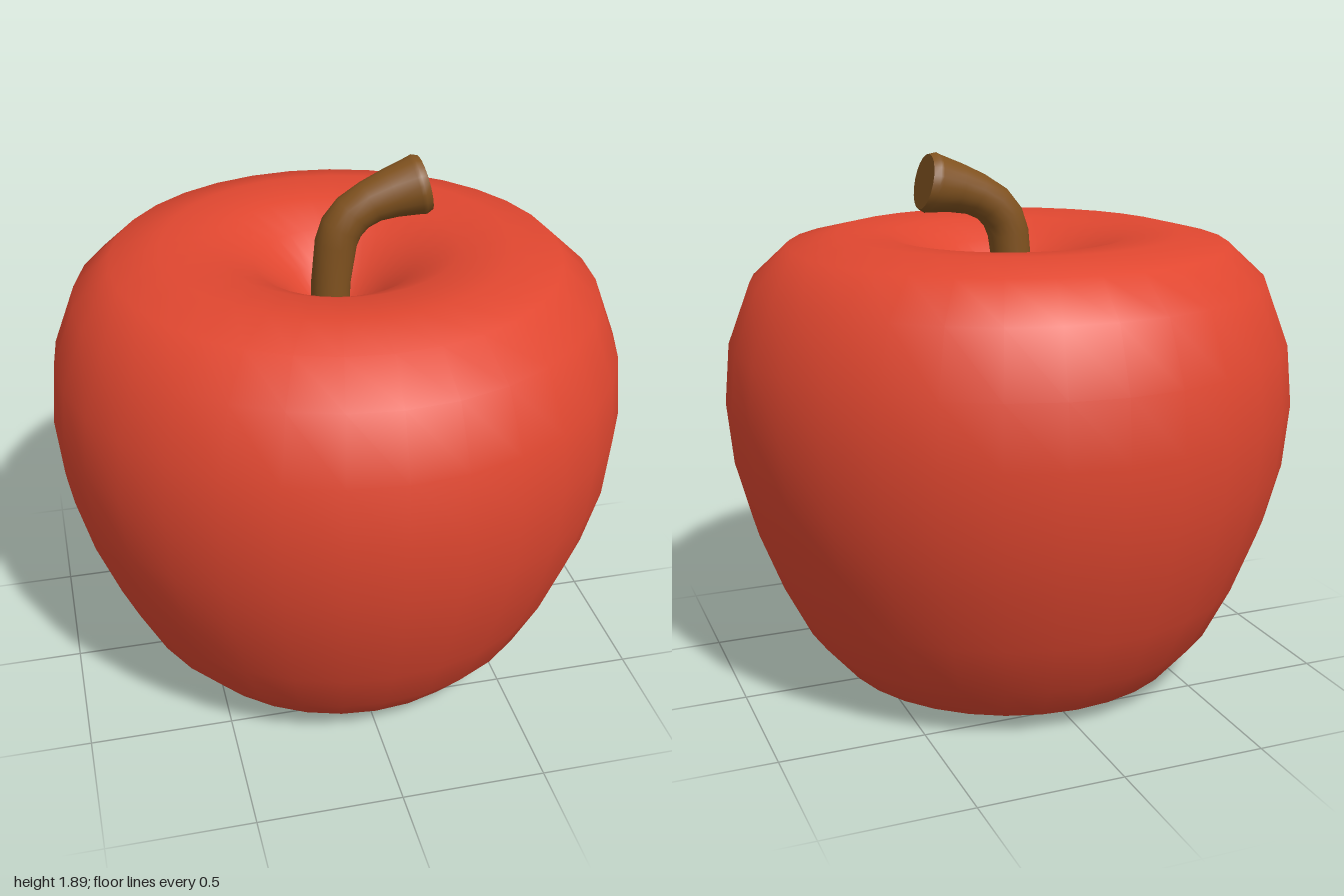
import * as THREE from 'three';

const red = new THREE.MeshStandardMaterial({ color: 0xe04730 });
red.name = 'apple red';
const brown = new THREE.MeshStandardMaterial({ color: 0x80521f });
brown.name = 'stem brown';

function addMesh(parent, name, geometry, material) {
  const mesh = new THREE.Mesh(geometry, material);
  mesh.name = name;
  parent.add(mesh);
  return mesh;
}

// Smooth tube through rings of [x, y, tangent angle, radius] in the xy plane
function sweep(rings, sides) {
  const positions = [], index = [];
  rings.forEach(([x, y, a, r], i) => {
    for (let j = 0; j < sides; j++) {
      const t = (j / sides) * Math.PI * 2, up = r * Math.cos(t);
      positions.push(x - up * Math.sin(a), y + up * Math.cos(a), r * Math.sin(t));
      if (i === rings.length - 1) continue;
      const k = (j + 1) % sides, p = i * sides, q = p + sides;
      index.push(p + j, p + k, q + j, p + k, q + k, q + j);
    }
  });
  const geometry = new THREE.BufferGeometry();
  geometry.setAttribute('position', new THREE.Float32BufferAttribute(positions, 3));
  geometry.setIndex(index);
  geometry.computeVertexNormals();
  return geometry;
}

export function createModel() {
  const apple = new THREE.Group();
  apple.name = 'apple';

  // Body: lower hollow, round side, upper hollow
  const profile = [
    [0, 0.18], [0.08, 0.15], [0.18, 0.09], [0.32, 0.025], [0.49, 0],
    [0.63, 0.06], [0.75, 0.2], [0.845, 0.39], [0.925, 0.6], [0.98, 0.81],
    [1, 1.03], [0.98, 1.24], [0.9, 1.45], [0.77, 1.57], [0.6, 1.61],
    [0.42, 1.595], [0.28, 1.53], [0.17, 1.44], [0.08, 1.34], [0, 1.25],
  ].map(([x, y]) => new THREE.Vector2(x, y));
  addMesh(apple, 'body', new THREE.LatheGeometry(profile, 32), red);

  // Stem: bends towards +x and widens to a bevelled end
  const stem = new THREE.Group();
  stem.name = 'stem';
  apple.add(stem);
  const rings = [
    [-0.02, 1.2, 1.57, 0.068], [-0.018, 1.45, 1.57, 0.068],
    [0, 1.6, 1.4, 0.072], [0.02, 1.655, 1.1, 0.073],
    [0.06, 1.703, 0.8, 0.073], [0.12, 1.738, 0.48, 0.075],
    [0.19, 1.762, 0.28, 0.085], [0.272, 1.781, 0.22, 0.1],
    [0.285, 1.784, 0.22, 0.104], [0.307, 1.788, 0.22, 0.095],
  ];
  addMesh(stem, 'stemShaft', sweep(rings, 20), brown);
  const [x, y, angle, radius] = rings[rings.length - 1];
  const end = new THREE.CircleGeometry(radius, 20).rotateY(Math.PI / 2).rotateZ(angle);
  addMesh(stem, 'stemEnd', end, brown).position.set(x, y, 0);

  // Calyx: small stub in the lower hollow
  addMesh(apple, 'calyx', new THREE.CylinderGeometry(0.05, 0.05, 0.1, 16), brown).position.y = 0.19;

  return apple;
}
